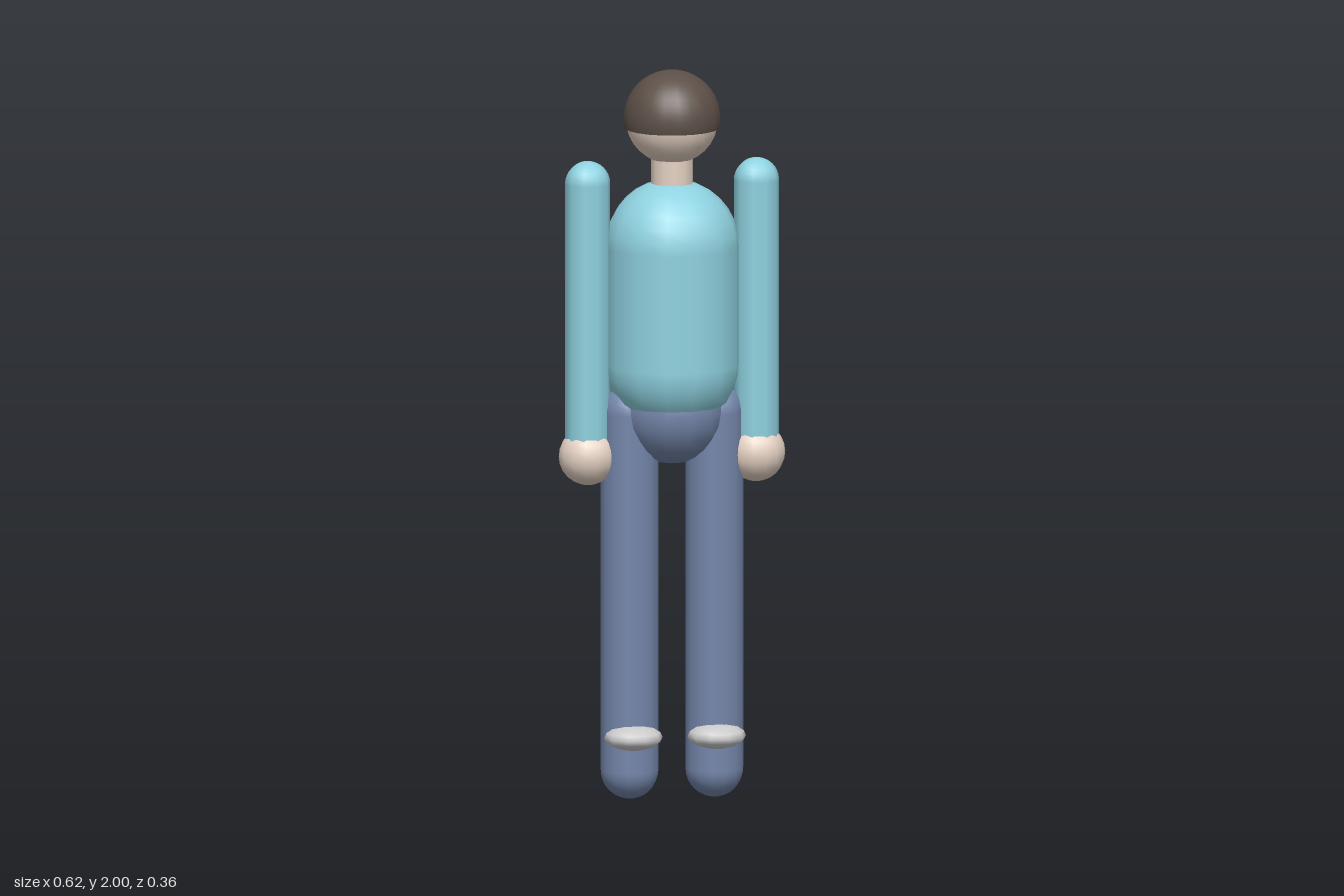
import * as THREE from 'three';

const material = (color, side = THREE.FrontSide) =>
  new THREE.MeshStandardMaterial({ color, side });

export function createModel() {
  const group = new THREE.Group();
  const skin = material(0xe6d3c4);
  const shirt = material(0x8fd2e0);
  const trousers = material(0x7486aa);
  const hair = material(0x5c4f47, THREE.DoubleSide);
  const shoe = material(0xcccccc);

  const add = (name, geometry, mat, x, y, z = 0) => {
    const mesh = new THREE.Mesh(geometry, mat);
    mesh.name = name;
    mesh.position.set(x, y, z);
    group.add(mesh);
    return mesh;
  };

  // Upright capsule spanning bottom to top
  const capsule = (name, radius, bottom, top, sides, mat, x) =>
    add(name, new THREE.CapsuleGeometry(radius, top - bottom - 2 * radius, 8, sides),
      mat, x, (bottom + top) / 2);

  // Head with a cap of hair, and neck
  add('head', new THREE.SphereGeometry(0.127, 20, 16), skin, 0, 1.87);
  add('hair', new THREE.SphereGeometry(0.132, 20, 14, 0, Math.PI * 2, 0, 1.77), hair, 0, 1.868);
  add('neck', new THREE.CylinderGeometry(0.057, 0.057, 0.12, 12), skin, 0, 1.72);

  // Torso and hips
  capsule('torso', 0.184, 1.01, 1.7, 14, shirt, 0);
  add('hips', new THREE.SphereGeometry(0.148, 14, 12), trousers, 0, 1.068);

  // Limbs, mirrored
  for (const [side, s] of [['left', 1], ['right', -1]]) {
    capsule(side + 'Arm', 0.062, 0.92, 1.755, 10, shirt, s * 0.231);
    add(side + 'Hand', new THREE.SphereGeometry(0.08, 14, 12), skin, s * 0.23, 0.945);
    capsule(side + 'Leg', 0.079, 0, 1.14, 14, trousers, s * 0.116);
    const foot = add(side + 'Foot', new THREE.SphereGeometry(0.08, 10, 8), shoe, s * 0.114, 0.177, 0.06);
    foot.scale.set(1, 0.43, 0.97);
  }

  return group;
}
